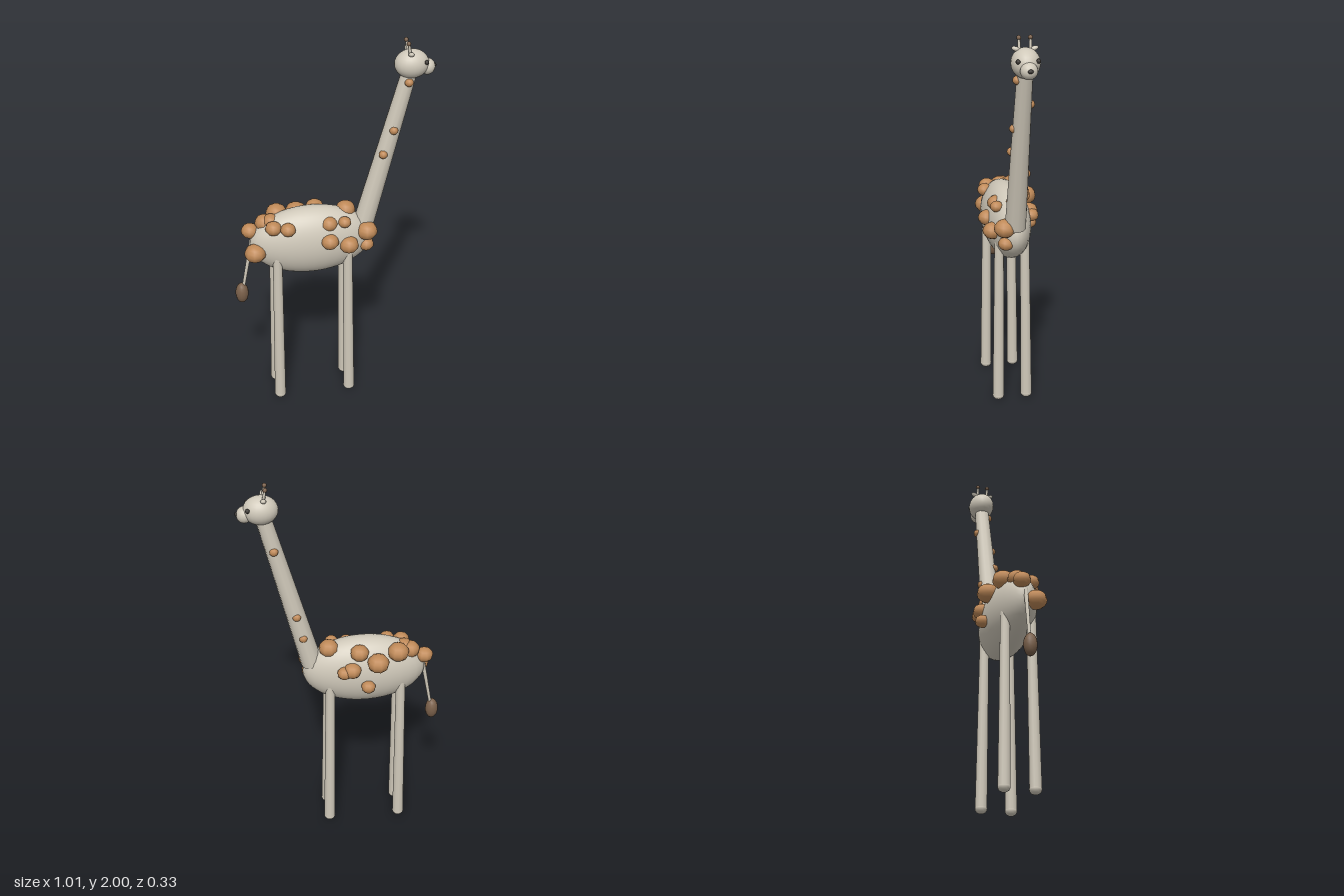
import * as THREE from 'three';

const paint = (name, color) => {
  const m = new THREE.MeshStandardMaterial({ color });
  m.name = name;
  return m;
};

export function createModel() {
  const group = new THREE.Group();
  const hide = paint('hide', 0xd0c9ba);
  const patch = paint('patch', 0xc08a58);
  const brown = paint('darkBrown', 0x7a604a);
  const dark = paint('dark', 0x3a3632);

  const add = (name, geometry, material) => {
    const mesh = new THREE.Mesh(geometry, material);
    mesh.name = name;
    group.add(mesh);
    return mesh;
  };

  // Ellipsoid with a centre and three radii
  const blob = (name, material, [x, y, z], [rx, ry, rz], w = 24, h = 16) => {
    const mesh = add(name, new THREE.SphereGeometry(1, w, h), material);
    mesh.position.set(x, y, z);
    mesh.scale.set(rx, ry, rz);
    return mesh;
  };

  // Tapered limb between two points
  const limb = (name, material, from, to, rFrom, rTo, sides = 12) => {
    const a = new THREE.Vector3(...from), b = new THREE.Vector3(...to);
    const dir = b.clone().sub(a);
    const mesh = add(name, new THREE.CylinderGeometry(rTo, rFrom, dir.length(), sides), material);
    mesh.position.copy(a).add(b).multiplyScalar(0.5);
    mesh.quaternion.setFromUnitVectors(new THREE.Vector3(0, 1, 0), dir.normalize());
    return mesh;
  };

  // Trunk and neck
  blob('body', hide, [-0.112, 0.952, 0], [0.315, 0.187, 0.12], 32, 24);
  limb('neck', hide, [0.155, 1.0, 0], [0.375, 1.85, 0], 0.054, 0.038);

  // Head and muzzle
  blob('head', hide, [0.381, 1.877, 0], [0.084, 0.071, 0.068]);
  blob('muzzle', hide, [0.457, 1.857, 0], [0.039, 0.04, 0.041], 16, 12);
  blob('nose', dark, [0.493, 1.862, 0], [0.009, 0.01, 0.014], 10, 8);

  for (const s of [1, -1]) {
    blob('eye', dark, [0.442, 1.897, s * 0.047], [0.011, 0.011, 0.011], 10, 8);
    const ear = blob('ear', hide, [0.367, 1.94, s * 0.042], [0.014, 0.011, 0.022], 10, 8);
    ear.rotation.x = -s * 0.35;
    limb('horn', hide, [0.367, 1.93, s * 0.026], [0.358, 1.988, s * 0.027], 0.008, 0.006, 8);
    blob('hornTip', brown, [0.357, 1.989, s * 0.027], [0.011, 0.011, 0.011], 10, 8);

    // Legs with rounded feet
    for (const [name, top, foot] of [['frontLeg', 0.067, 0.077], ['hindLeg', -0.294, -0.301]]) {
      limb(name, hide, [foot, 0.028, s * 0.075], [top, 0.91, s * 0.066], 0.03, 0.024);
      blob('foot', hide, [foot, 0.026, s * 0.075], [0.031, 0.026, 0.031], 12, 8);
    }
  }

  // Tail and tuft
  limb('tail', hide, [-0.415, 0.98, 0], [-0.468, 0.69, 0], 0.011, 0.008, 8);
  blob('tailTuft', brown, [-0.476, 0.66, 0], [0.034, 0.058, 0.034], 14, 10);

  // Patches on the trunk: x, y, z, radius
  const bodyPatches = [
    [-0.405, 0.93, 0.055, 0.055], [-0.31, 1.07, 0.062, 0.042], [-0.24, 1.068, 0.085, 0.039],
    [-0.03, 1.068, 0.065, 0.044], [-0.033, 0.99, 0.11, 0.046], [0.048, 1.075, 0.075, 0.033],
    [0.066, 0.955, 0.1, 0.05], [0.167, 1.0, 0.055, 0.055], [0.165, 0.918, 0.05, 0.04],
    [0.07, 1.095, -0.02, 0.051], [-0.08, 1.09, -0.075, 0.048], [-0.17, 1.05, -0.117, 0.056],
    [-0.12, 0.918, -0.13, 0.037], [-0.04, 1.01, -0.11, 0.046], [0, 1.0, -0.115, 0.037],
    [-0.277, 1.08, -0.07, 0.055], [-0.315, 1.072, -0.005, 0.045], [-0.345, 1.06, -0.02, 0.05],
    [-0.42, 1.02, -0.02, 0.045],
  ];
  for (const [x, y, z, r] of bodyPatches) {
    blob('bodyPatch', patch, [x, y, z], [r, r * 0.86, r], 9, 8);
  }

  // Small patches up both sides of the neck: x, y, z
  const neckPatches = [
    [0.363, 1.795, 0.035], [0.295, 1.547, 0.037], [0.245, 1.42, 0.039],
    [0.328, 1.67, -0.035], [0.228, 1.3, -0.038], [0.198, 1.175, -0.04],
  ];
  for (const p of neckPatches) blob('neckPatch', patch, p, [0.022, 0.021, 0.022], 9, 8);

  return group;
}
